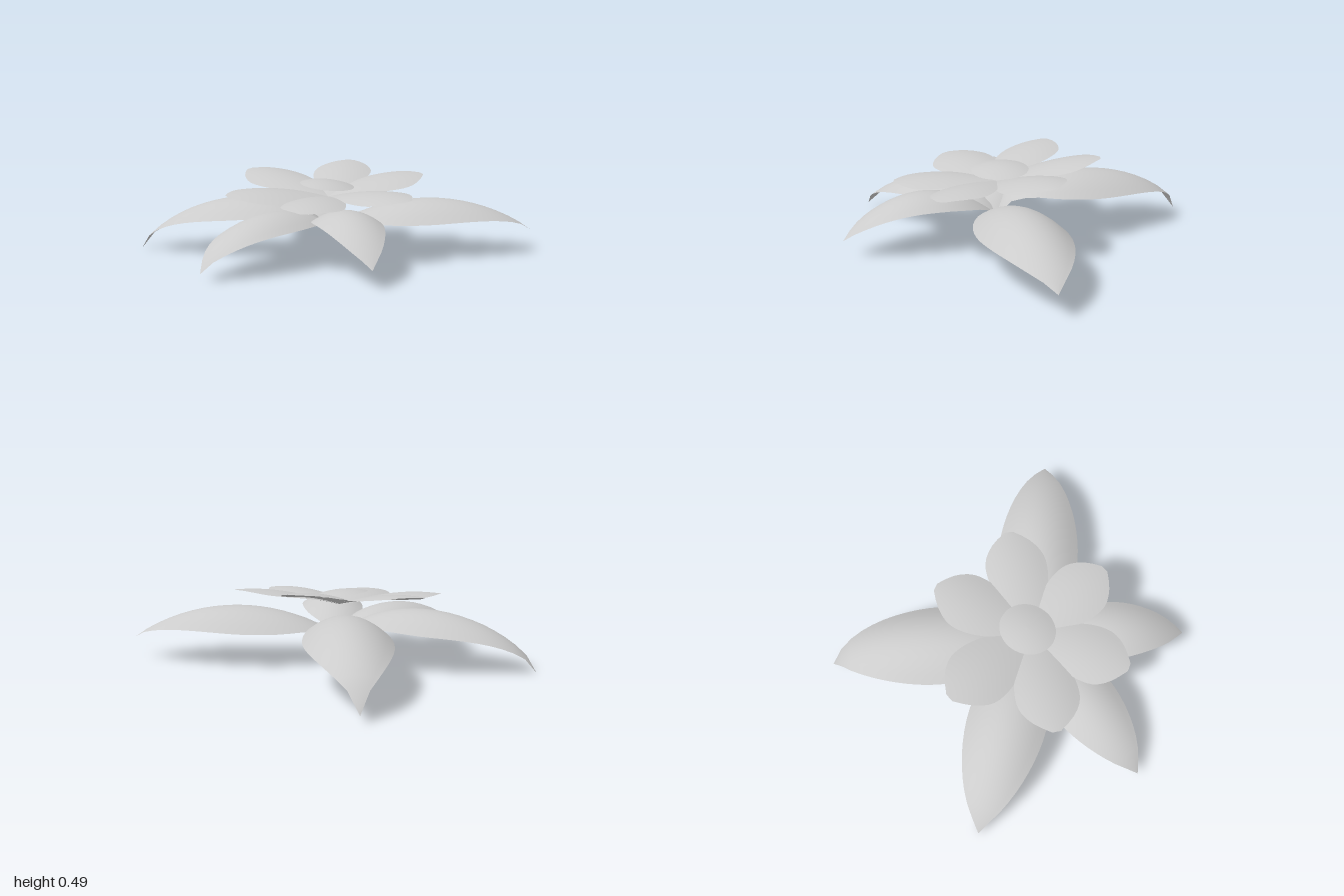
import * as THREE from 'three';

const material = new THREE.MeshStandardMaterial({ color: 0xcccccc, side: THREE.DoubleSide });

// Half-width along a blade, as a fraction of its length
const profile = (times, widths) => {
  const curve = new THREE.CubicInterpolant(times, widths, 1);
  return (t) => Math.max(0, curve.evaluate(t)[0]);
};
const leafWidth = profile([0, 0.12, 0.25, 0.42, 0.6, 0.78, 0.9, 1], [0.015, 0.1, 0.168, 0.2, 0.188, 0.138, 0.078, 0]);
const petalWidth = profile([0, 0.2, 0.4, 0.6, 0.75, 0.88, 0.96, 1], [0.02, 0.15, 0.25, 0.295, 0.28, 0.195, 0.1, 0.04]);

// A curved blade: a grid swept from the base to the tip, arched along and across
function blade(name, base, tip, width, height, fold) {
  const geo = new THREE.PlaneGeometry(1, 1, 10, 18);
  const pos = geo.attributes.position;
  const dx = tip[0] - base[0], dz = tip[1] - base[1];
  const length = Math.hypot(dx, dz);
  for (let i = 0; i < pos.count; i++) {
    const s = pos.getX(i) * 2, t = pos.getY(i) + 0.5;
    const across = s * width(t);
    const x = base[0] + dx * t - dz * across;
    const z = base[1] + dz * t + dx * across;
    pos.setXYZ(i, x, height(t, x, z) - fold * (across * length) ** 2, z);
  }
  geo.computeVertexNormals();
  const mesh = new THREE.Mesh(geo, material);
  mesh.name = name;
  return mesh;
}

// The ring of petals lies on a plane that rises toward the back and the right
const tilt = (x, z) => 0.395 - 0.06 * x - 0.12 * z;

export function createModel() {
  const model = new THREE.Group();
  const base = [0.03, -0.06];

  // Large drooping leaves: tip x, y, z, arch height, arch fullness
  const leaves = new THREE.Group();
  leaves.name = 'leaves';
  for (const [x, y, z, arch, power] of [
    [-0.82, 0.04, -0.91, 0.262, 0.6],
    [1.0, 0.13, -0.79, 0.19, 0.9],
    [-1.0, 0.0, 0.43, 0.255, 0.7],
    [0.7, 0.1, 0.57, 0.205, 1],
    [-0.14, 0.04, 0.905, 0.205, 0.8],
  ]) {
    const height = (t) => 0.14 + (y - 0.14) * t + arch * Math.max(0, 4 * t * (1 - t)) ** power;
    leaves.add(blade('leaf', base, [x, z], leafWidth, height, 2));
  }
  model.add(leaves);

  // Ring of blunt petals: tip x, z
  const petals = new THREE.Group();
  petals.name = 'petals';
  for (const tip of [
    [-0.16, -0.62], [0.39, -0.55], [0.61, 0.01],
    [0.24, 0.5], [-0.33, 0.44], [-0.59, -0.12],
  ]) {
    const height = (t, x, z) => tilt(x, z) - 0.06 + 0.08 * Math.sin(t * 2);
    petals.add(blade('petal', base, tip, petalWidth, height, 0.9));
  }
  model.add(petals);

  // Thin, slightly domed heart petal leaning toward the left
  const heartGeo = new THREE.RingGeometry(0, 1, 32, 6);
  const pos = heartGeo.attributes.position;
  for (let i = 0; i < pos.count; i++) {
    const u = pos.getX(i), v = pos.getY(i);
    const x = 0.015 + 0.155 * u, z = -0.075 - 0.168 * v;
    pos.setXYZ(i, x, 0.408 - 0.12 * x + 0.025 * (1 - u * u - v * v), z);
  }
  heartGeo.computeVertexNormals();
  const heart = new THREE.Mesh(heartGeo, material);
  heart.name = 'heartPetal';
  model.add(heart);

  // Small stub where the leaves meet
  const stub = new THREE.Mesh(new THREE.CylinderGeometry(0.025, 0.01, 0.05, 10), material);
  stub.name = 'stemStub';
  stub.position.set(base[0], 0.15, base[1]);
  model.add(stub);

  return model;
}
